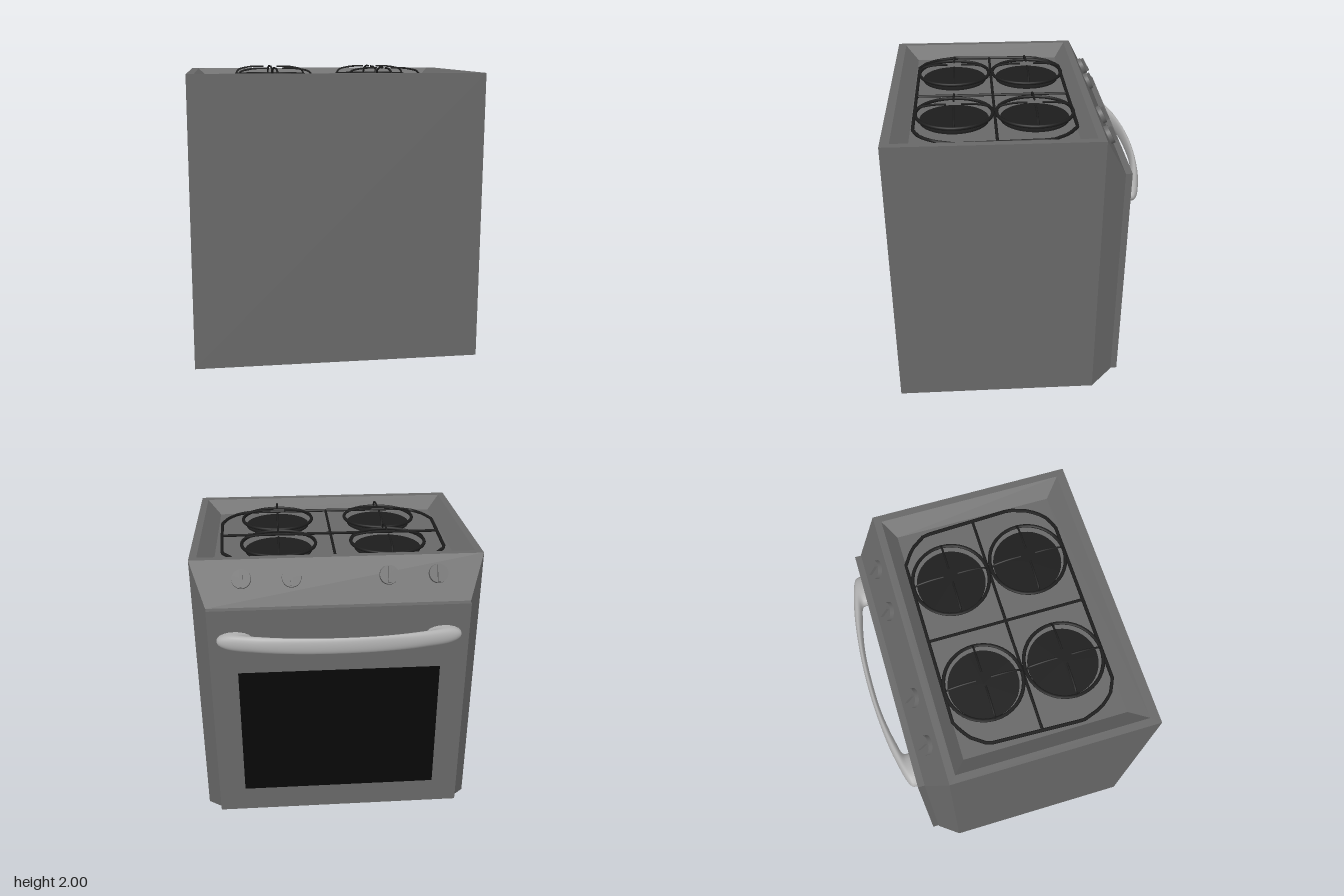
import * as THREE from 'three';

const mat = (color, extra = {}) => new THREE.MeshStandardMaterial({ color, side: THREE.DoubleSide, ...extra });
const steel = mat(0x686868, { flatShading: true });
const knobSteel = mat(0x686868);
const iron = mat(0x1c1c1c);
const glass = mat(0x080808);
const chrome = mat(0xb0b0b0);

function add(parent, name, geometry, material, x = 0, y = 0, z = 0) {
  const mesh = new THREE.Mesh(geometry, material);
  mesh.name = name;
  mesh.position.set(x, y, z);
  parent.add(mesh);
  return mesh;
}

// Joins a list of equal-length point loops into a skin, with flat caps for quads
function loft(loops, capped, smooth = false) {
  const n = loops[0].length, index = [];
  for (let i = 0; i + 1 < loops.length; i++) {
    for (let j = 0; j < n; j++) {
      const a = i * n + j, b = i * n + (j + 1) % n;
      index.push(a, b, b + n, a, b + n, a + n);
    }
  }
  if (capped) {
    const e = (loops.length - 1) * n;
    index.push(0, 2, 1, 0, 3, 2, e, e + 1, e + 2, e, e + 2, e + 3);
  }
  let g = new THREE.BufferGeometry();
  g.setAttribute('position', new THREE.Float32BufferAttribute(loops.flat(2), 3));
  g.setIndex(index);
  if (!smooth) g = g.toNonIndexed();
  g.computeVertexNormals();
  return g;
}

// Horizontal and upright rectangles, wound to face +y and -z
const flatRect = (x, z0, z1, y) => [[-x, y, z1], [x, y, z1], [x, y, z0], [-x, y, z0]];
const uprightRect = (x, y0, y1, z) => [[x, y0, z], [-x, y0, z], [-x, y1, z], [x, y1, z]];

function rod(points, radius, closed = false) {
  const path = new THREE.CurvePath();
  const v = points.map(p => new THREE.Vector3(...p));
  if (closed) v.push(v[0].clone());
  for (let i = 0; i + 1 < v.length; i++) path.add(new THREE.LineCurve3(v[i], v[i + 1]));
  return new THREE.TubeGeometry(path, 96, radius, 6, closed);
}

function makeBurner(x, z) {
  const burner = new THREE.Group();
  burner.name = 'burner';
  burner.position.set(x, 0, z);
  add(burner, 'burnerPlate', new THREE.CylinderGeometry(0.235, 0.235, 0.012, 40), iron, 0, 1.885, 0);
  add(burner, 'grateRing', new THREE.TorusGeometry(0.26, 0.012, 8, 40).rotateX(Math.PI / 2), iron, 0, 1.93, 0);
  // Four arched prongs reach in from the ring
  const arch = new THREE.CatmullRomCurve3([[0.26, 1.93], [0.24, 1.968], [0.18, 1.986], [0.12, 1.993], [0.05, 1.993]]
    .map(([r, y]) => new THREE.Vector3(r, y, 0)));
  const prong = new THREE.TubeGeometry(arch, 16, 0.007, 6);
  for (let i = 0; i < 4; i++) add(burner, 'grateProng', prong, iron).rotation.y = i * Math.PI / 2;
  return burner;
}

function makeKnob(x) {
  const knob = new THREE.Group();
  knob.name = 'knob';
  knob.position.set(x, 1.855, -0.582);
  // Local y points out of the sloping panel
  knob.rotation.x = -Math.atan2(0.28, 0.15);
  add(knob, 'knobDisc', new THREE.CylinderGeometry(0.063, 0.065, 0.03, 32), knobSteel, 0, 0.012, 0);
  add(knob, 'knobGrip', new THREE.BoxGeometry(0.02, 0.025, 0.11), knobSteel, 0, 0.036, 0);
  return knob;
}

// Bowed handle: elliptical sections spanning an inner and an outer curve
function handleGeometry() {
  const curve = half => {
    const mirrored = half.slice(0, -1).reverse().map(([x, z]) => [-x, z]);
    return new THREE.CatmullRomCurve3([...half, ...mirrored].map(([x, z]) => new THREE.Vector3(x, 0, z)));
  };
  const outer = curve([[-0.82, -0.71], [-0.81, -0.755], [-0.6, -0.82], [-0.3, -0.86], [0, -0.873]]);
  const inner = curve([[-0.58, -0.71], [-0.575, -0.755], [-0.48, -0.785], [-0.25, -0.825], [0, -0.835]]);
  const loops = [];
  for (let i = 0; i <= 64; i++) {
    const a = outer.getPoint(i / 64), b = inner.getPoint(i / 64), loop = [];
    for (let j = 0; j < 20; j++) {
      const t = j / 20 * Math.PI * 2;
      const p = a.clone().lerp(b, 0.5 - 0.5 * Math.cos(t));
      loop.push([p.x, 1.48 + 0.057 * Math.sin(t), p.z]);
    }
    loops.push(loop);
  }
  return loft(loops, false, true);
}

export function createModel() {
  const stove = new THREE.Group();
  stove.name = 'stove';

  // Cabinet with a sunken hob
  add(stove, 'cabinet', loft([
    flatRect(0.98, -0.52, 0.87, 0),
    flatRect(0.98, -0.52, 0.87, 1.97),
    flatRect(0.93, -0.47, 0.81, 1.97),
    flatRect(0.83, -0.39, 0.71, 1.88),
  ], true), steel);

  // Tapered fascia and door on the -z side
  add(stove, 'fascia', loft([
    uprightRect(0.98, 0, 1.97, -0.52),
    uprightRect(0.88, 0.07, 1.69, -0.67),
  ], true), steel);
  add(stove, 'door', new THREE.BoxGeometry(1.75, 1.62, 0.05), steel, 0, 0.88, -0.69);
  add(stove, 'doorWindow', new THREE.BoxGeometry(1.38, 0.97, 0.01), glass, 0, 0.74, -0.714);
  add(stove, 'doorHandle', handleGeometry(), chrome);
  for (const x of [-0.665, -0.335, 0.31, 0.64]) stove.add(makeKnob(x));

  // Grate frame and cross bars
  const grateY = 1.9;
  const side = [[0.59, -0.39], [0.7, -0.32], [0.78, -0.21], [0.805, 0.42], [0.76, 0.55], [0.69, 0.64], [0.59, 0.69]];
  const outline = [...side, ...side.map(([x, z]) => [-x, z]).reverse()];
  add(stove, 'grateFrame', rod(outline.map(([x, z]) => [x, grateY, z]), 0.012, true), iron);
  add(stove, 'grateCrossBar', rod([[-0.8, grateY, 0.145], [0.8, grateY, 0.145]], 0.01), iron);
  add(stove, 'grateLongBar', rod([[0, grateY, -0.39], [0, grateY, 0.69]], 0.01), iron);

  for (const x of [-0.385, 0.385]) for (const z of [-0.125, 0.42]) stove.add(makeBurner(x, z));
  return stove;
}
